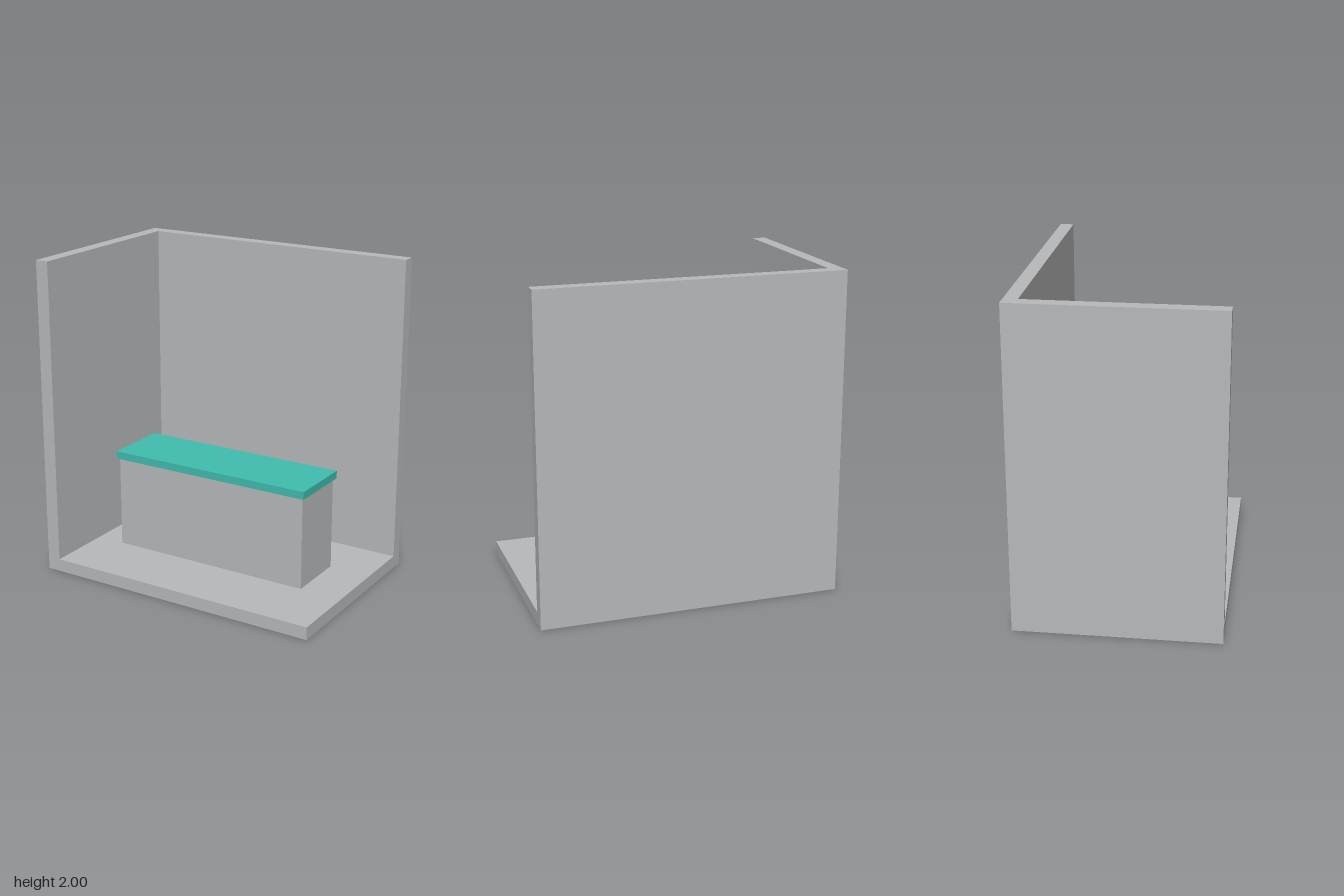
import * as THREE from 'three';

export function createModel() {
  const group = new THREE.Group();
  const grey = new THREE.MeshStandardMaterial({ color: 0xb8b9bb });
  grey.name = 'light grey';
  const teal = new THREE.MeshStandardMaterial({ color: 0x3fbdaf });
  teal.name = 'teal';

  // Box given by its extents along each axis
  function box(name, material, [x0, x1], [y0, y1], [z0, z1]) {
    const mesh = new THREE.Mesh(new THREE.BoxGeometry(x1 - x0, y1 - y0, z1 - z0), material);
    mesh.position.set((x0 + x1) / 2, (y0 + y1) / 2, (z0 + z1) / 2);
    mesh.name = name;
    group.add(mesh);
  }

  const X = 0.935, Z = 0.623, H = 2; // outer half width, half depth, height
  const floorTop = 0.08, wall = 0.085;

  // Booth shell: floor with two walls meeting at a corner
  box('floor', grey, [-X, X], [0, floorTop], [-Z, Z]);
  box('backWall', grey, [-X, X], [floorTop, H], [-Z, -Z + wall]);
  box('sideWall', grey, [-X, -X + wall], [floorTop, H], [-Z + wall, Z]);

  // Counter with overhanging top
  box('counterBase', grey, [-0.667, 0.663], [floorTop, 0.667], [-0.192, 0.197]);
  box('counterTop', teal, [-0.682, 0.678], [0.667, 0.716], [-0.212, 0.212]);

  return group;
}
